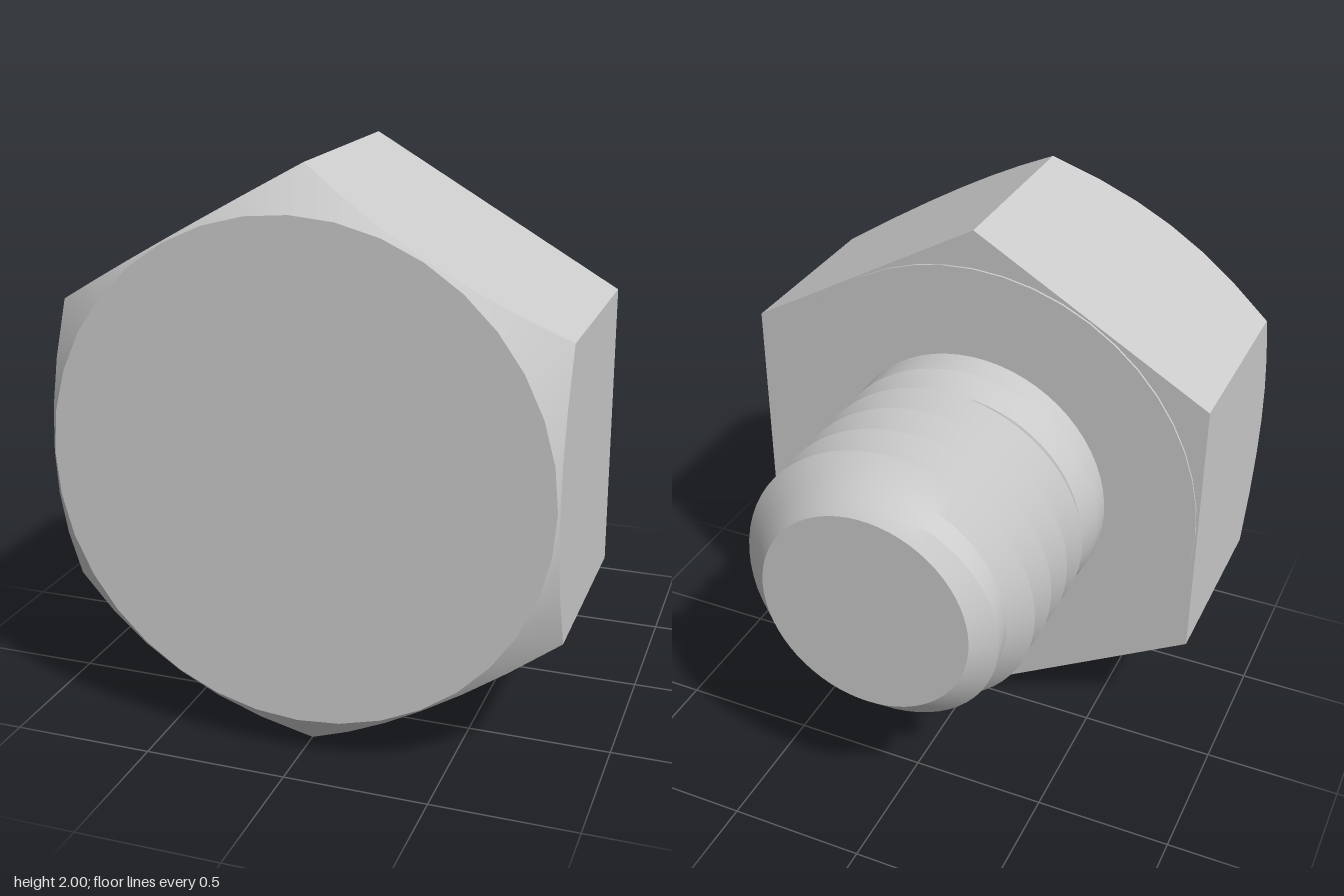
import * as THREE from 'three';
import { toCreasedNormals } from 'three/addons/utils/BufferGeometryUtils.js';

const TAU = Math.PI * 2;

// Surface around the z axis: profile(t, angle) lists [radius, z] from front to back for turn fraction t.
function sweepAround(segments, profile) {
  const columns = [];
  for (let i = 0; i <= segments; i++) {
    const t = i / segments;
    const angle = Math.PI / 2 + t * TAU; // starts at +x, runs clockwise seen from the front
    columns.push(profile(t, angle).map(([r, z]) =>
      new THREE.Vector3(r * Math.sin(angle), r * Math.cos(angle), z)));
  }
  const points = [];
  const addTriangle = (a, b, c) => {
    const area = b.clone().sub(a).cross(c.clone().sub(a)).length();
    if (area > 1e-9) points.push(a, b, c);
  };
  for (let i = 0; i < segments; i++) {
    const p = columns[i], q = columns[i + 1];
    for (let j = 0; j < p.length - 1; j++) {
      addTriangle(p[j], q[j], p[j + 1]);
      addTriangle(q[j], q[j + 1], p[j + 1]);
    }
  }
  const geometry = new THREE.BufferGeometry().setFromPoints(points);
  return toCreasedNormals(geometry, 0.5);
}

export function createModel() {
  const group = new THREE.Group();
  group.name = 'hexBolt';
  const material = new THREE.MeshStandardMaterial({ color: 0xcccccc });
  const add = (name, geometry) => {
    const mesh = new THREE.Mesh(geometry, material);
    mesh.name = name;
    mesh.position.y = 1;
    group.add(mesh);
  };

  // Hexagonal head, corner up, with a conical chamfer round the front face
  const front = 0.865, back = 0.012, faceRadius = 0.86;
  add('head', sweepAround(36, (t, angle) => {
    const fromFlat = (angle % (Math.PI / 3)) - Math.PI / 6;
    const hex = Math.sqrt(0.75) / Math.cos(fromFlat);
    return [[0, front], [faceRadius, front], [hex, front - (hex - faceRadius) * 0.96], [hex, back], [0, back]];
  }));

  // Thin round bearing face behind the head
  const washer = new THREE.CylinderGeometry(0.86, 0.86, 0.016, 48);
  washer.rotateX(Math.PI / 2);
  washer.translate(0, 0, 0.012);
  add('washerFace', washer);

  // Threaded shank: a helical V groove that fades in at the head and is cut by the end chamfer
  const pitch = 0.1442, crest = 0.52, depth = 0.07, end = -0.865, endRadius = 0.38;
  const clampToChamfer = (r, z) => [Math.min(r, endRadius + (z - end) * 1.02), z];
  add('threadedShank', sweepAround(64, (t) => {
    const rows = [[crest, 0.01], [crest, -pitch * t]];
    for (let k = 0; k < 5; k++) {
      const root = crest - depth * (k === 0 ? t : 1);
      rows.push(clampToChamfer(root, -pitch * (k + t + 0.5)));
      rows.push(clampToChamfer(crest, Math.max(end, -pitch * (k + t + 1))));
    }
    rows.push([endRadius, end], [0, end]);
    return rows;
  }));

  return group;
}
